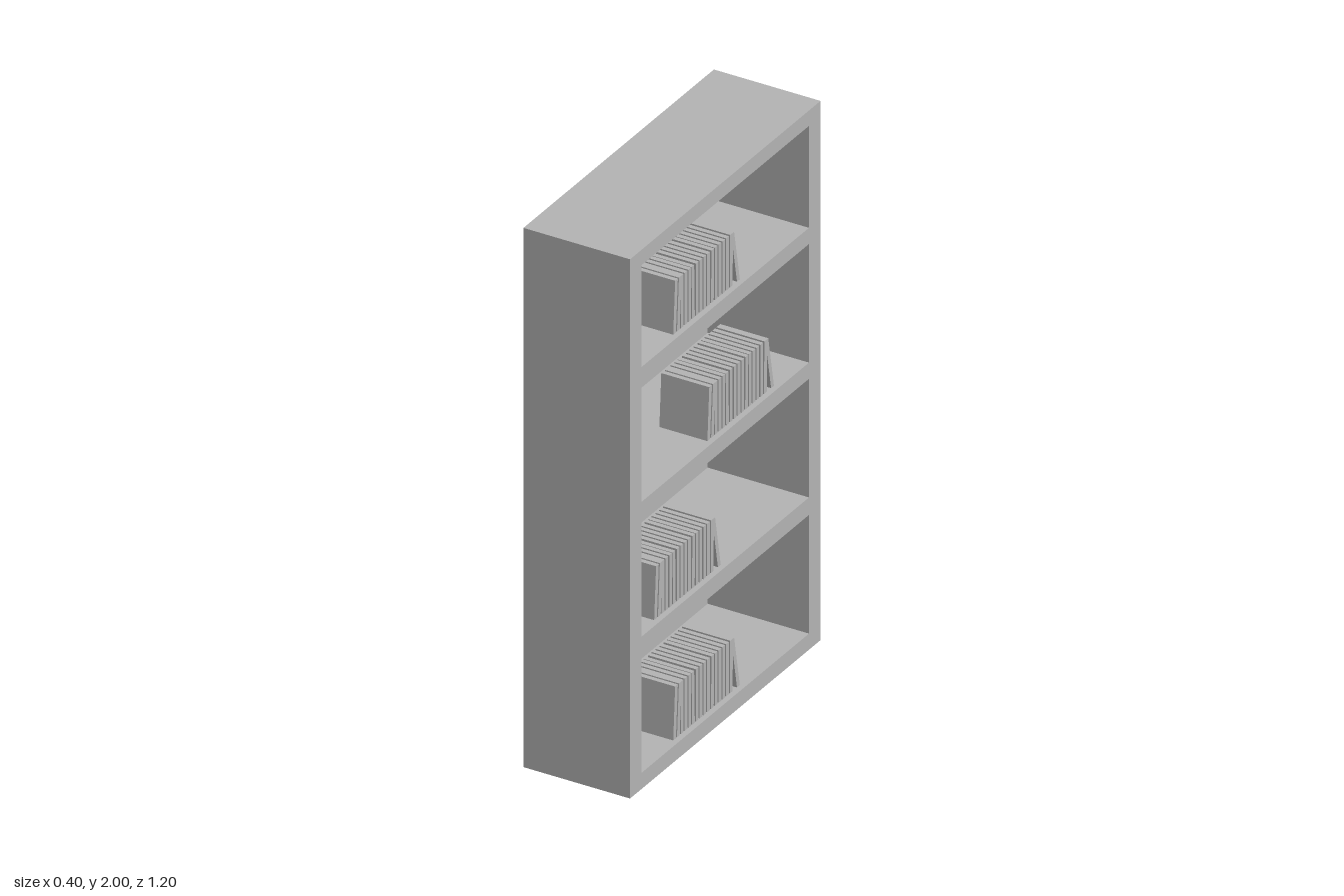
import * as THREE from 'three';

const grey = new THREE.MeshStandardMaterial({ color: 0xb3b3b3 });
grey.name = 'plain grey';

const W = 1.2, H = 2, BACK = 0.02, DEPTH = 0.4, BOOK_H = 0.194;

// Each bay: floor height, ceiling height, and z of the first book's outer edge
const bays = [
  { floor: 0.06, ceiling: 0.5, start: 0.295 },
  { floor: 0.565, ceiling: 1.005, start: 0.415 },
  { floor: 1.065, ceiling: 1.505, start: 0.08 },
  { floor: 1.565, ceiling: 1.943, start: 0.295 },
];

function rect(target, u0, v0, u1, v1) {
  target.moveTo(u0, v0);
  target.lineTo(u1, v0);
  target.lineTo(u1, v1);
  target.lineTo(u0, v1);
  target.closePath();
  return target;
}

// Sides, top, base and shelves in one piece, open towards +x
function createFrame() {
  const shape = rect(new THREE.Shape(), -W / 2, 0, W / 2, H);
  for (const b of bays) shape.holes.push(rect(new THREE.Path(), -0.527, b.floor, 0.527, b.ceiling));
  const geo = new THREE.ExtrudeGeometry(shape, { depth: DEPTH - BACK, bevelEnabled: false });
  geo.rotateY(Math.PI / 2).translate(-DEPTH / 2 + BACK, 0, 0);
  const frame = new THREE.Mesh(geo, grey);
  frame.name = 'frame';
  return frame;
}

// A book standing on y = 0, its top shifted along z by lean
function createBook(thickness, lean) {
  const geo = new THREE.BoxGeometry(0.18, BOOK_H, thickness).translate(0, BOOK_H / 2, 0);
  const p = geo.attributes.position;
  for (let i = 0; i < p.count; i++) p.setZ(i, p.getZ(i) + lean * p.getY(i) / BOOK_H);
  geo.computeVertexNormals();
  const book = new THREE.Mesh(geo, grey);
  book.name = 'book';
  return book;
}

// A row of thin books; the end ones lean inwards
function createBookRow() {
  const row = new THREE.Group();
  row.name = 'bookRow';
  const leans = [-0.012, -0.012, 0, 0, 0, 0.004, 0, 0, 0, 0, -0.003, 0, 0, 0, 0, -0.002];
  leans.forEach((lean, i) => {
    const book = createBook(0.017, lean);
    book.position.z = -0.009 - i * 0.0238;
    row.add(book);
  });
  const last = createBook(0.018, 0.036);
  last.position.z = -0.411;
  row.add(last);
  return row;
}

export function createModel() {
  const model = new THREE.Group();
  model.name = 'bookcase';
  model.add(createFrame());

  // Back panel
  const back = new THREE.Mesh(new THREE.BoxGeometry(BACK, H, W), grey);
  back.position.set(-DEPTH / 2 + BACK / 2, H / 2, 0);
  back.name = 'backPanel';
  model.add(back);

  // Books on every shelf
  for (const b of bays) {
    const row = createBookRow();
    row.position.set(0.09, b.floor, b.start);
    model.add(row);
  }
  return model;
}
